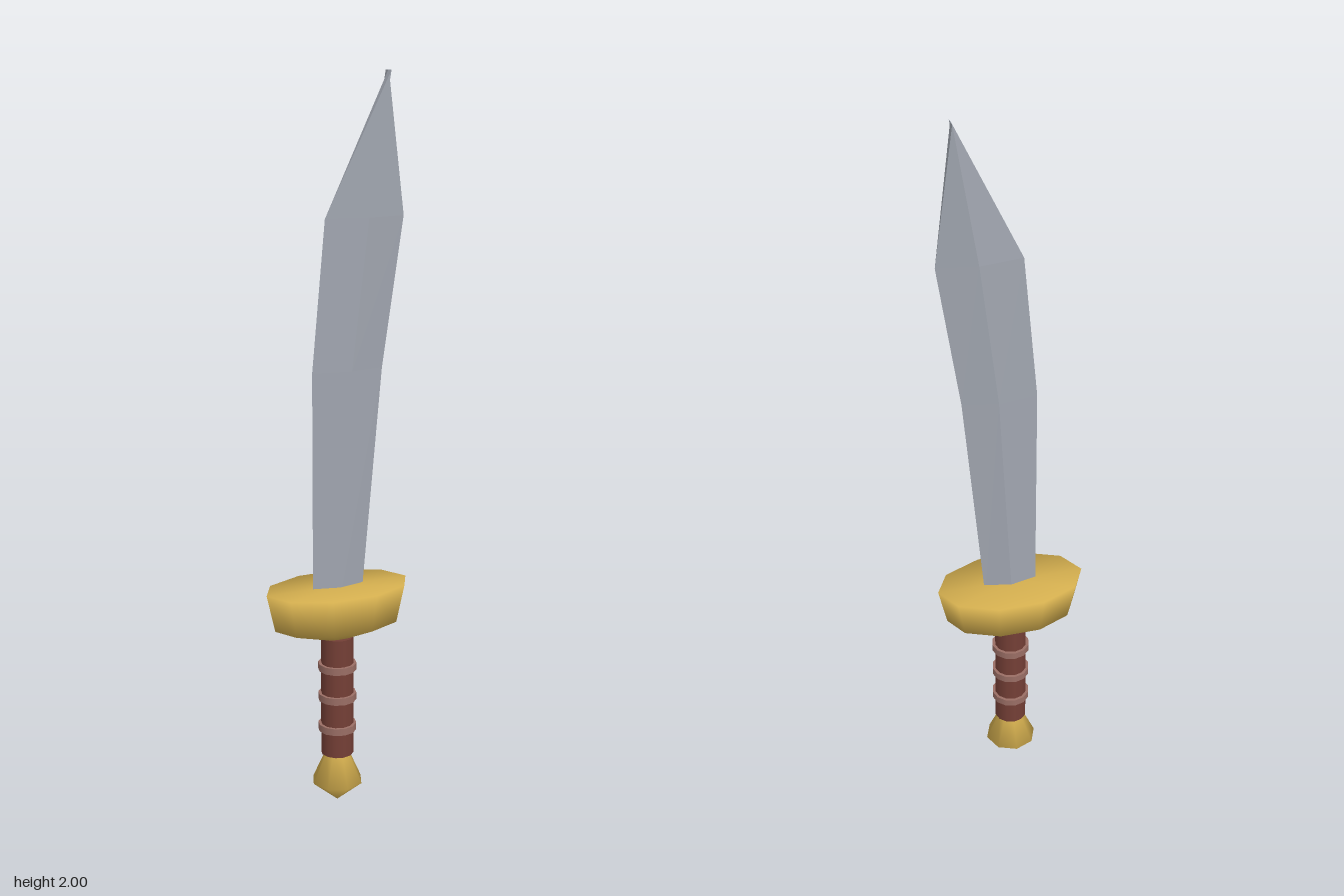
import * as THREE from 'three';

const material = (name, color) => {
  const m = new THREE.MeshStandardMaterial({ color });
  m.name = name;
  return m;
};

// Smooth turned part from [radius, height] points, listed bottom to top
function turned(name, points, sides, mat) {
  const profile = points.map(([r, y]) => new THREE.Vector2(r, y));
  const mesh = new THREE.Mesh(new THREE.LatheGeometry(profile, sides, Math.PI / 2), mat);
  mesh.name = name;
  return mesh;
}

// Curved blade: diamond cross-sections [y, back edge x, ridge x, front edge x]
function bladeGeometry() {
  const half = 0.017;
  const sections = [
    [0.6, -0.072, 0, 0.073],
    [1.23, -0.072, 0.035, 0.13],
    [1.63, -0.035, 0.083, 0.19],
    [2.0, 0.142, 0.143, 0.144],
  ];
  const rings = sections.map(([y, a, r, b]) => [
    [a, y, 0], [r, y, half], [b, y, 0], [r, y, -half],
  ]);
  const pos = [];
  const quad = (a, b, c, d) => pos.push(...a, ...b, ...c, ...a, ...c, ...d);
  for (let i = 0; i < rings.length - 1; i++) {
    for (let j = 0; j < 4; j++) {
      const k = (j + 1) % 4;
      quad(rings[i][j], rings[i][k], rings[i + 1][k], rings[i + 1][j]);
    }
  }
  quad(...rings[rings.length - 1]);
  quad(...[...rings[0]].reverse());
  const geo = new THREE.BufferGeometry();
  geo.setAttribute('position', new THREE.Float32BufferAttribute(pos, 3));
  geo.computeVertexNormals(); // unshared corners keep the facets flat
  return geo;
}

export function createModel() {
  const steel = material('steel', 0xa0a5af);
  const gold = material('gold', 0xd2ad4e);
  const leather = material('leather', 0x743f36);
  const binding = material('binding', 0x9a6e65);

  const sword = new THREE.Group();
  sword.name = 'sword';

  const blade = new THREE.Mesh(bladeGeometry(), steel);
  blade.name = 'blade';
  sword.add(blade);

  // Oval cup-shaped guard with a flat top
  const guard = turned('guard',
    [[0, 0.475], [0.03, 0.483], [0.183, 0.53], [0.207, 0.635], [0, 0.635]], 10, gold);
  guard.scale.z = 0.6;
  sword.add(guard);

  // Grip with three raised bands
  const grip = new THREE.Mesh(new THREE.CylinderGeometry(0.045, 0.045, 0.345, 12), leather);
  grip.name = 'grip';
  grip.position.y = 0.3175;
  sword.add(grip);
  [0.225, 0.315, 0.403].forEach((y, i) => {
    const band = new THREE.Mesh(new THREE.CylinderGeometry(0.053, 0.053, 0.02, 12), binding);
    band.name = `gripBand${i + 1}`;
    band.position.y = y;
    sword.add(band);
  });

  // Pointed pommel
  sword.add(turned('pommel', [[0, 0], [0.072, 0.06], [0.033, 0.148]], 8, gold));

  return sword;
}
